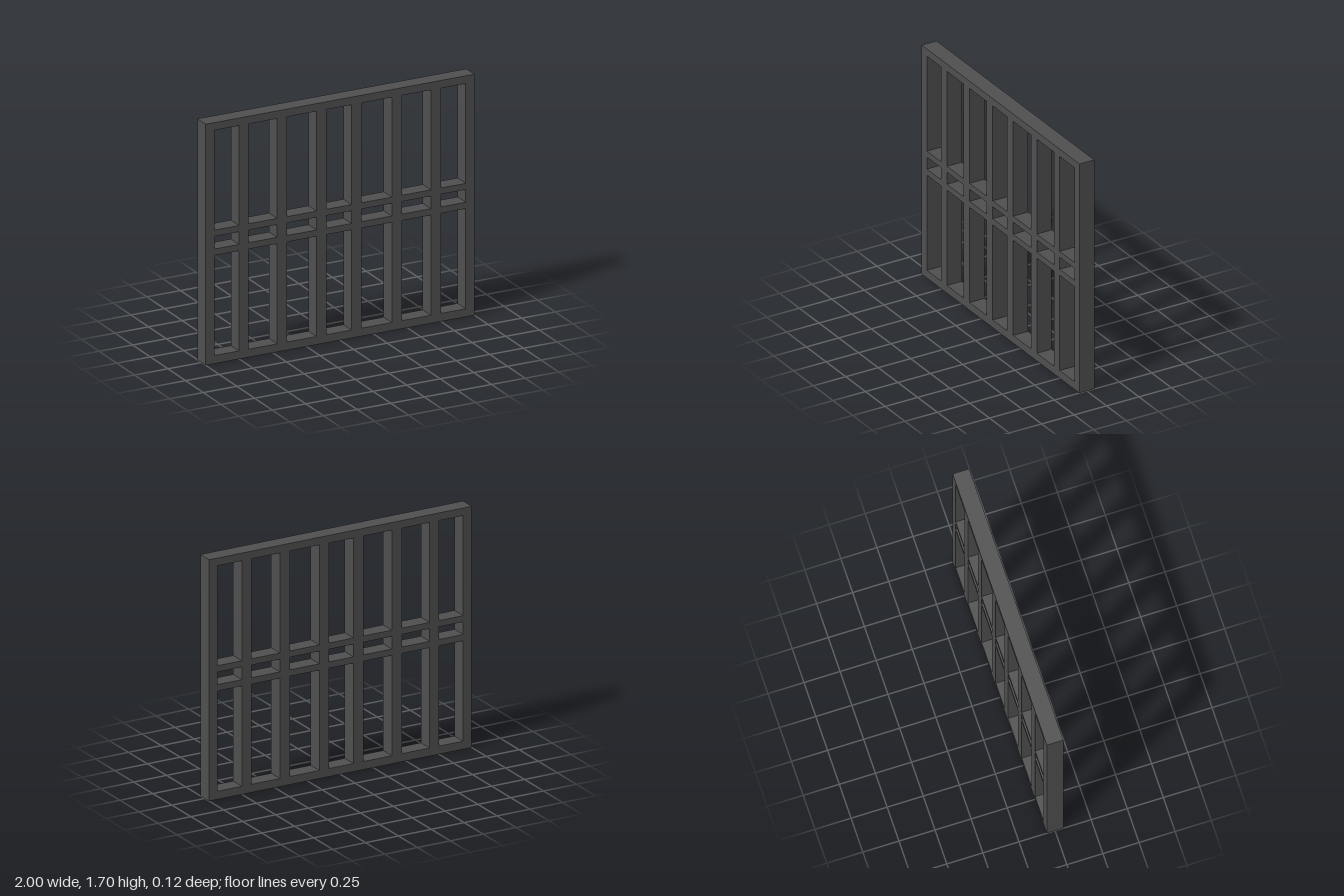
import * as THREE from 'three';

const DEPTH = 0.115, HEIGHT = 1.697;

// Rectangle traced as a closed path
function rect(path, x0, y0, x1, y1) {
  path.moveTo(x0, y0);
  path.lineTo(x1, y0);
  path.lineTo(x1, y1);
  path.lineTo(x0, y1);
  path.closePath();
  return path;
}

export function createModel() {
  const group = new THREE.Group();
  group.name = 'barredFrame';
  const darkMetal = new THREE.MeshStandardMaterial({ color: 0x505050 });
  darkMetal.name = 'darkMetal';

  // Clear openings between the upright bars and between the rails
  const columns = [[-0.935, -0.752], [-0.68, -0.468], [-0.393, -0.175], [-0.1, 0.085],
    [0.16, 0.385], [0.46, 0.675], [0.75, 0.935]];
  const rows = [[0.057, 0.762], [0.807, 0.896], [0.94, 1.643]];

  // Flush lattice: outer frame, six uprights and two middle rails
  const outline = rect(new THREE.Shape(), -1, 0, 1, HEIGHT);
  for (const [x0, x1] of columns) {
    for (const [y0, y1] of rows) outline.holes.push(rect(new THREE.Path(), x0, y0, x1, y1));
  }
  const geometry = new THREE.ExtrudeGeometry(outline, { depth: DEPTH, bevelEnabled: false });
  geometry.translate(0, 0, -DEPTH / 2);

  const lattice = new THREE.Mesh(geometry, darkMetal);
  lattice.name = 'frameWithBars';
  group.add(lattice);
  return group;
}
